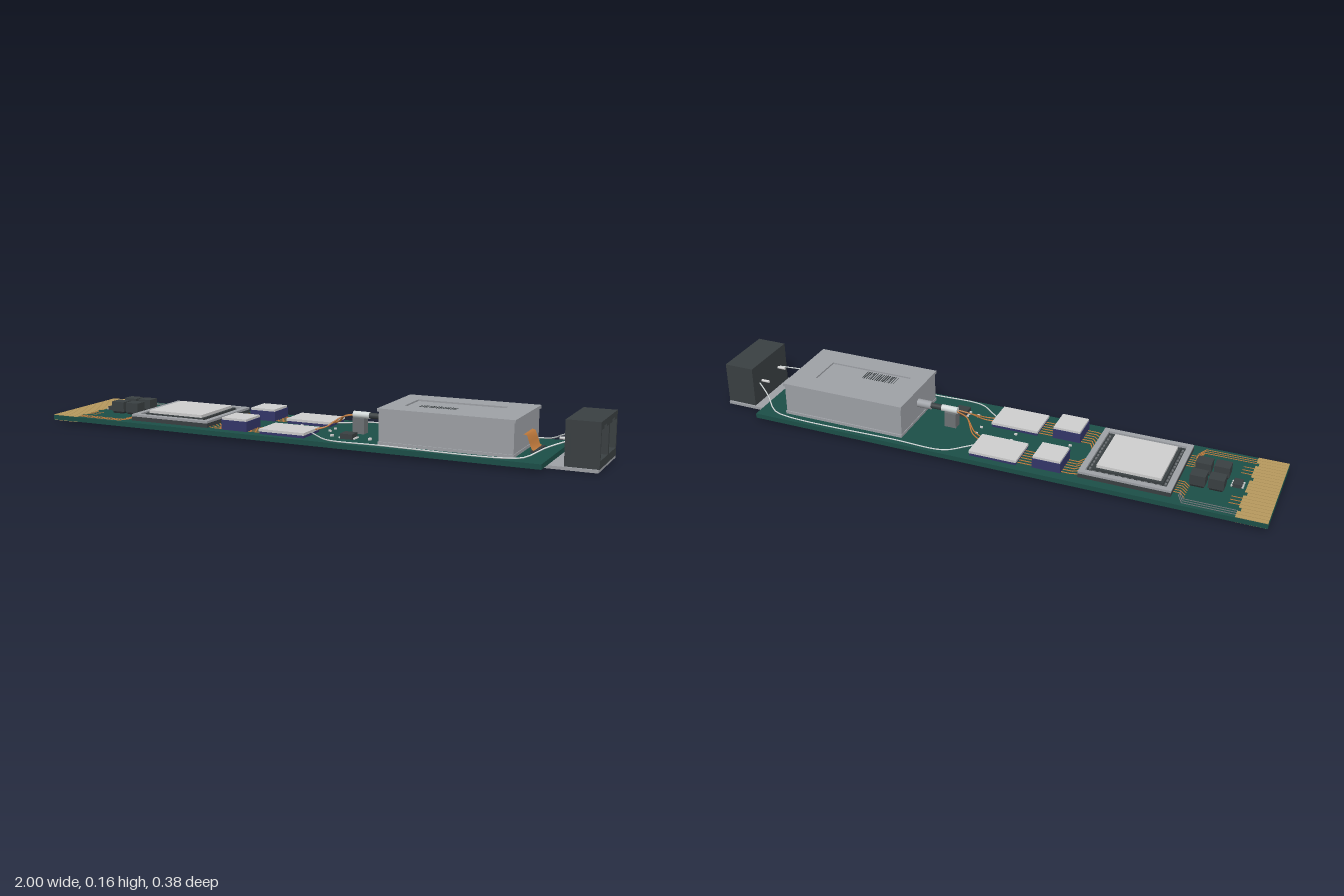
import * as THREE from 'three';

const mat = (name, color, extra = {}) => {
  const m = new THREE.MeshStandardMaterial({ color, ...extra });
  m.name = name;
  return m;
};

export function createModel() {
  const root = new THREE.Group();
  root.name = 'opticalTransceiverBoard';

  const green = mat('boardGreen', 0x1c4f48);
  const gold = mat('contactGold', 0xb89a5e);
  const dark = mat('darkPlastic', 0x3a4042);
  const black = mat('black', 0x24282a);
  const grey = mat('caseGrey', 0x9fa2a7);
  const silver = mat('lidSilver', 0xcfcfcf);
  const navy = mat('chipNavy', 0x34366a);
  const copper = mat('copper', 0xc07a3c, { side: THREE.DoubleSide });
  const white = mat('fibreWhite', 0xd2d8d8);
  const steel = mat('steel', 0x6f7376);

  const add = (name, geo, m, parent = root) => {
    const mesh = new THREE.Mesh(geo, m);
    mesh.name = name;
    parent.add(mesh);
    return mesh;
  };
  // Box given by its limits on each axis
  const box = (name, m, x0, x1, y0, y1, z0, z1) => {
    const mesh = add(name, new THREE.BoxGeometry(x1 - x0, y1 - y0, z1 - z0), m);
    mesh.position.set((x0 + x1) / 2, (y0 + y1) / 2, (z0 + z1) / 2);
    return mesh;
  };
  const rod = (name, m, x0, x1, r, y, z, sides = 24) => {
    const geo = new THREE.CylinderGeometry(r, r, x1 - x0, sides).rotateZ(Math.PI / 2);
    add(name, geo, m).position.set((x0 + x1) / 2, y, z);
  };
  const wire = (name, m, pts, r = 0.0025) => {
    const curve = new THREE.CatmullRomCurve3(pts.map(p => new THREE.Vector3(...p)), false, 'centripetal');
    add(name, new THREE.TubeGeometry(curve, 40, r, 6), m);
  };
  // Flat track on the board through [x, z] points
  const track = (name, m, pts, w = 0.004) => {
    for (let i = 0; i + 1 < pts.length; i++) {
      const [x0, z0] = pts[i], [x1, z1] = pts[i + 1];
      const geo = new THREE.BoxGeometry(Math.hypot(x1 - x0, z1 - z0) + w / 2, 0.002, w);
      const mesh = add(name, geo, m);
      mesh.position.set((x0 + x1) / 2, 0.0275, (z0 + z1) / 2);
      mesh.rotation.y = -Math.atan2(z1 - z0, x1 - x0);
    }
  };
  const rect = (S, x0, x1, y0, y1) => {
    const s = new S();
    s.moveTo(x0, y0); s.lineTo(x1, y0); s.lineTo(x1, y1); s.lineTo(x0, y1); s.closePath();
    return s;
  };
  // Flat rectangular ring lying in the xz plane
  const ring = (name, m, o, i, y0, y1) => {
    const s = rect(THREE.Shape, ...o);
    s.holes.push(rect(THREE.Path, ...i));
    const geo = new THREE.ExtrudeGeometry(s, { depth: y1 - y0, bevelEnabled: false });
    add(name, geo.rotateX(-Math.PI / 2), m).position.y = y0;
  };

  // Circuit board
  const T = 0.027;
  box('board', green, -1, 0.84, 0.01, T, -0.19, 0.19);

  // Edge contacts, top and bottom
  for (let i = 0; i < 20; i++) {
    const z = -0.18 + i * 0.36 / 19;
    const x1 = i % 5 === 2 ? -0.905 : -0.895;
    box('topContact', gold, -0.999, x1, T, T + 0.002, z - 0.0083, z + 0.0083);
    box('bottomContact', gold, -0.999, x1, 0.008, 0.01, z - 0.0075, z + 0.0075);
  }

  // Power parts beside the contacts
  for (const x of [-0.805, -0.743]) for (const z of [-0.044, 0.038]) {
    box('inductor', dark, x - 0.026, x + 0.026, 0.034, 0.07, z - 0.023, z + 0.023);
    box('inductorBase', black, x - 0.022, x + 0.022, T, 0.034, z - 0.02, z + 0.02);
  }
  box('smallRegulator', dark, -0.88, -0.85, T, 0.04, -0.022, 0.018);
  for (const z of [-0.016, -0.002, 0.012]) box('regulatorPin', silver, -0.886, -0.844, T, 0.032, z - 0.003, z + 0.003);

  // Main processor
  box('processorBase', dark, -0.68, -0.365, T, 0.042, -0.155, 0.152);
  ring('processorRim', grey, [-0.68, -0.365, -0.152, 0.155], [-0.66, -0.385, -0.132, 0.135], 0.042, 0.05);
  box('processorStep', dark, -0.645, -0.405, 0.042, 0.05, -0.12, 0.115);
  box('processorLid', silver, -0.635, -0.415, 0.05, 0.06, -0.11, 0.105);
  for (let i = 0; i < 11; i++) {
    const u = -0.11 + i * 0.022;
    for (const x of [-0.652, -0.395]) box('processorCapacitor', steel, x - 0.003, x + 0.003, 0.042, 0.046, u - 0.007, u + 0.003);
    for (const z of [-0.127, 0.124]) box('processorCapacitor', steel, u - 0.527, u - 0.517, 0.042, 0.046, z - 0.003, z + 0.003);
  }

  for (const s of [-1, 1]) {
    // Driver and modulator chips
    const zc = s * 0.104;
    box('driverChip', navy, -0.305, -0.205, T, 0.062, zc - 0.051, zc + 0.051);
    box('driverChipLid', silver, -0.303, -0.207, 0.062, 0.07, zc - 0.049, zc + 0.049);
    box('modulatorChip', navy, -0.15, 0.018, T, 0.036, zc - 0.06, zc + 0.06);
    box('modulatorChipLid', silver, -0.152, 0.02, 0.036, 0.045, zc - 0.061, zc + 0.061);

    // Copper tracks between the chips
    for (let i = 0; i < 6; i++) {
      const k = i - 2.5;
      track('chipTrack', copper, [[-0.365, s * 0.075 + k * 0.024], [-0.34, zc + k * 0.016], [-0.305, zc + k * 0.016]]);
      track('chipTrack', copper, [[-0.205, zc + k * 0.016], [-0.15, zc + k * 0.016]]);
      track('fanTrack', copper, [[-0.72, s * (0.07 + i * 0.014)], [-0.7, s * (0.05 + i * 0.014)], [-0.68, s * (0.05 + i * 0.014)]], 0.003);
    }
    for (let i = 0; i < 3; i++) {
      const z = s * (0.15 + i * 0.012);
      track('contactTrack', s > 0 ? copper : steel, [[-0.895, z], [-0.72, z], [-0.7, z - s * 0.04]], 0.003);
      track('inputTrack', copper, [[-0.895, s * (0.075 + i * 0.02)], [-0.86, s * (0.075 + i * 0.02)]], 0.003);
    }
    for (const x of [-0.28, -0.08, 0.05]) box('tinyCapacitor', silver, x - 0.005, x + 0.005, T, 0.033, s * 0.022 - 0.003, s * 0.022 + 0.003);

    // Fibres: modulator to the laser, and connector along the edge to the modulator
    for (const z of [0.06, 0.08]) wire('laserFibre', copper,
      [[0.015, 0.041, s * z], [0.05, 0.05, s * z * 0.75], [0.09, 0.08, s * 0.015], [0.14, 0.091, s * 0.004]]);
    wire('connectorFibre', white, [[0.02, 0.034, s * 0.1], [0.05, 0.032, s * 0.125], [0.11, 0.031, s * 0.17],
      [0.3, 0.031, s * 0.172], [0.72, 0.031, s * 0.172], [0.78, 0.037, s * 0.16], [0.83, 0.062, s * 0.115], [0.9, 0.086, s * 0.065]]);
  }

  // Controller and small parts near the laser
  box('controller', dark, 0.13, 0.175, T, 0.045, 0.07, 0.115);
  for (const z of [0.078, 0.092, 0.106]) box('controllerPin', silver, 0.122, 0.183, T, 0.032, z - 0.003, z + 0.003);
  for (const x of [0.09, 0.23]) box('tinyCapacitor', silver, x - 0.005, x + 0.005, T, 0.034, 0.085, 0.097);

  // Laser case with a recessed lid panel
  box('laserBase', grey, 0.28, 0.74, T, 0.037, -0.147, 0.147);
  box('laserCase', grey, 0.282, 0.738, 0.037, 0.137, -0.142, 0.142);
  box('laserLid', grey, 0.278, 0.743, 0.137, 0.142, -0.147, 0.147);
  ring('laserLidRim', grey, [0.278, 0.743, -0.147, 0.147], [0.34, 0.655, -0.063, 0.065], 0.142, 0.148);
  box('labelPanel', grey, 0.34, 0.655, 0.142, 0.1425, -0.065, 0.063);
  for (let i = 0; i < 16; i++) {
    const x = 0.382 + i * 0.0082, w = 0.002 + (i * 7 % 3) * 0.0011;
    box('panelStripe', dark, x, x + w, 0.1425, 0.1435, 0.005, 0.055);
  }

  // Fibre snout with support post
  rod('snoutFlange', grey, 0.23, 0.285, 0.015, 0.091, 0);
  rod('snoutBoot', dark, 0.185, 0.235, 0.01, 0.091, 0);
  rod('snoutSleeve', white, 0.13, 0.19, 0.012, 0.091, 0);
  box('snoutPost', steel, 0.132, 0.175, T, 0.082, -0.016, 0.016);

  // Copper flex ribbon at the rear of the laser
  const bend = [[0.741, 0.085], [0.752, 0.082], [0.76, 0.06], [0.768, 0.038], [0.782, 0.03]];
  const pos = bend.flatMap(([x, y]) => [x, y, -0.053, x, y, 0.047]);
  const idx = [];
  for (let i = 0; i < bend.length - 1; i++) {
    const a = i * 2;
    idx.push(a, a + 1, a + 2, a + 1, a + 3, a + 2);
  }
  const flex = new THREE.BufferGeometry();
  flex.setAttribute('position', new THREE.Float32BufferAttribute(pos, 3));
  flex.setIndex(idx);
  flex.computeVertexNormals();
  add('flexRibbon', flex, copper);
  box('flexClamp', dark, 0.765, 0.785, T, 0.034, -0.055, 0.05);

  // Twin-port connector: front shell with keyed openings, back wall, ferrules
  const shell = rect(THREE.Shape, -0.114, 0.114, 0.01, 0.158);
  for (const c of [-0.056, 0.056]) {
    const p = new THREE.Path();
    [[-0.049, 0.036], [0.049, 0.036], [0.049, 0.132], [0.016, 0.132], [0.016, 0.141], [-0.016, 0.141], [-0.016, 0.132], [-0.049, 0.132]]
      .forEach(([x, y], i) => (i ? p.lineTo(c + x, y) : p.moveTo(c + x, y)));
    p.closePath();
    shell.holes.push(p);
    rod('ferrule', white, 0.91, 0.985, 0.016, 0.084, c);
    rod('fibreTail', silver, 0.86, 0.895, 0.005, 0.086, c);
  }
  const shellGeo = new THREE.ExtrudeGeometry(shell, { depth: 0.09, bevelEnabled: false }).rotateY(Math.PI / 2);
  add('connectorShell', shellGeo, dark).position.x = 0.91;
  box('connectorBack', dark, 0.89, 0.912, 0.01, 0.158, -0.114, 0.114);
  box('connectorPlate', grey, 0.8, 0.998, 0, 0.01, -0.121, 0.121);

  return root;
}
